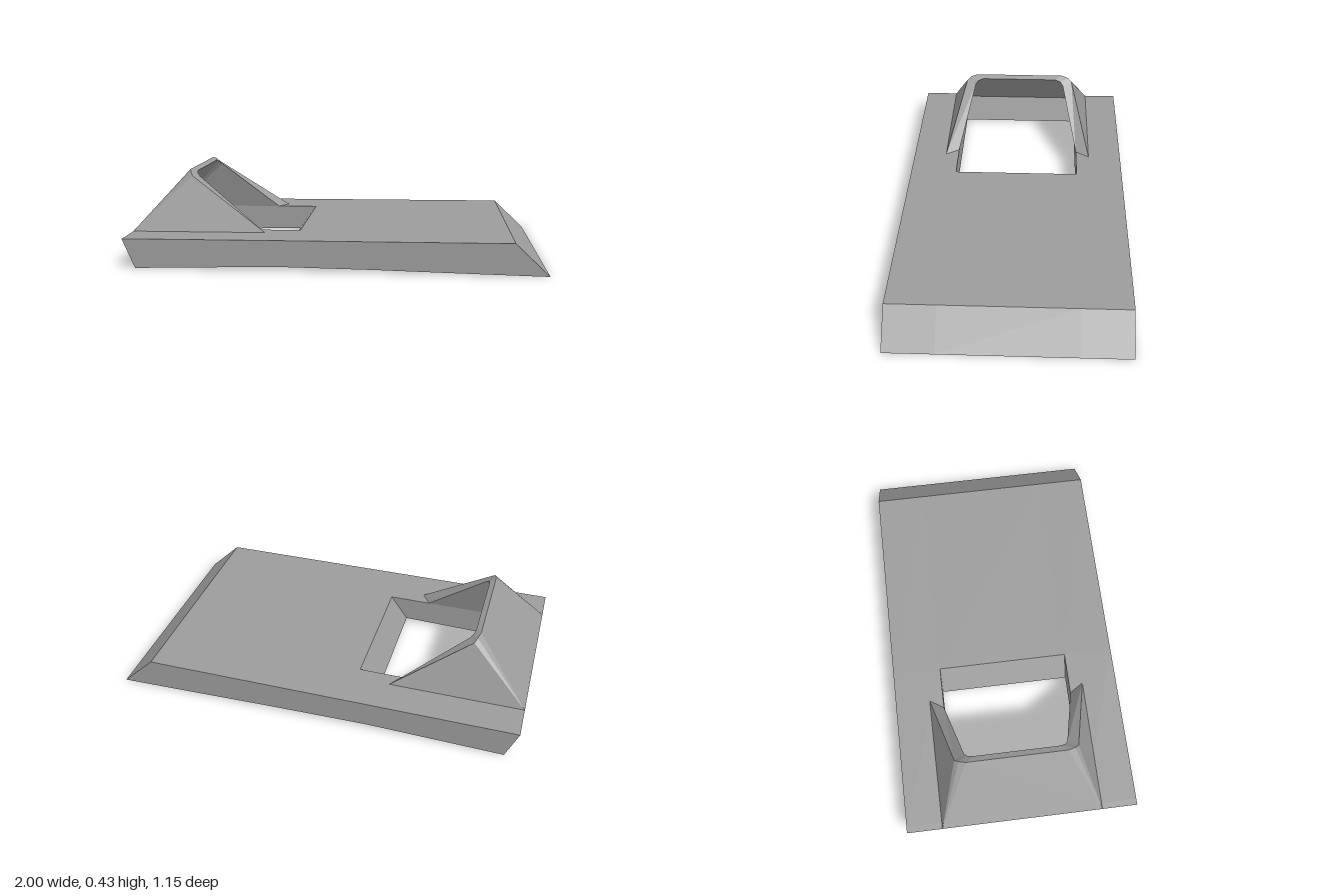
import * as THREE from 'three';

const stone = new THREE.MeshStandardMaterial({ color: 0x9c9c9c, flatShading: true });
stone.name = 'grey';

const HALF_WIDTH = 0.575, HALF_HOLE = 0.33;

// Collects faces and turns them into a faceted mesh
function faceBuilder() {
  const pos = [];
  const tri = (a, b, c) => pos.push(...a, ...b, ...c);
  const quad = (a, b, c, d) => { tri(a, b, c); tri(a, c, d); };
  const mesh = (name) => {
    const g = new THREE.BufferGeometry();
    g.setAttribute('position', new THREE.Float32BufferAttribute(pos, 3));
    g.computeVertexNormals();
    const m = new THREE.Mesh(g, stone);
    m.name = name;
    return m;
  };
  return { tri, quad, mesh };
}

// Wedge-ended slab with a rectangular opening through it
function createSlab() {
  const f = faceBuilder();
  const bottomBack = [[-0.94, 0], [-0.92, 0.001]];
  const bottomFront = [[-0.27, 0.02], [0.2, 0.015], [0.6, 0.007], [1, 0]];
  const topFront = [[0.84, 0.152], [-0.18, 0.146]];
  const topBack = [[-0.97, 0.141], [-1, 0.14]];
  const profile = [...bottomBack, ...bottomFront, ...topFront, ...topBack];
  const frontBlock = [...bottomFront, ...topFront];
  const backBar = [...bottomBack, ...topBack];
  const opening = [bottomBack[1], bottomFront[0], topFront[1], topBack[0]];

  // Walls running along z around a closed profile
  const sweep = (pts, z0, z1) => pts.forEach((a, i) => {
    const b = pts[(i + 1) % pts.length];
    f.quad([...a, z1], [...a, z0], [...b, z0], [...b, z1]);
  });
  // Flat cap facing +z or -z
  const cap = (pts, z, facing) => {
    const contour = pts.map((p) => new THREE.Vector2(...p));
    for (const [a, b, c] of THREE.ShapeUtils.triangulateShape(contour, [])) {
      const [p, q, r] = [a, b, c].map((i) => [...pts[i], z]);
      if (facing > 0) f.tri(p, q, r); else f.tri(p, r, q);
    }
  };

  sweep(profile, HALF_HOLE, HALF_WIDTH);
  sweep(profile, -HALF_WIDTH, -HALF_HOLE);
  sweep(frontBlock, -HALF_HOLE, HALF_HOLE);
  sweep(backBar, -HALF_HOLE, HALF_HOLE);
  for (const s of [1, -1]) {
    cap(profile, s * HALF_WIDTH, s);
    cap(opening, s * HALF_HOLE, -s);
  }
  return f.mesh('slab');
}

// Thin sloping hood over the back of the opening
function createHood() {
  const f = faceBuilder();
  const flip = ([x, y, z]) => [x, y, -z];
  const mirrored = (half) => [...half, ...half.map(flip).reverse()];
  const outer = mirrored([
    [-0.345, 0.145, 0.4], [-0.722, 0.405, 0.3], [-0.734, 0.422, 0.28], [-0.744, 0.431, 0.245],
  ]);
  const inner = mirrored([
    [-0.39, 0.144, HALF_HOLE], [-0.695, 0.395, 0.25], [-0.71, 0.41, 0.235], [-0.716, 0.419, 0.205],
  ]);
  const outerCorner = [-1, 0.14, 0.4];
  const innerCorner = [-0.97, 0.141, HALF_HOLE];

  // Each skin fans from its two base corners to the rim
  const skin = (rim, corner, face) => {
    const other = flip(corner);
    for (let i = 0; i < 3; i++) {
      face(corner, rim[i], rim[i + 1]);
      face(other, rim[i + 4], rim[i + 5]);
    }
    face(corner, rim[3], rim[4]);
    face(corner, rim[4], other);
  };
  skin(outer, outerCorner, f.tri);
  skin(inner, innerCorner, (a, b, c) => f.tri(a, c, b));

  // Rim joining the two skins
  for (let i = 0; i < outer.length - 1; i++) {
    f.quad(outer[i], inner[i], inner[i + 1], outer[i + 1]);
  }
  return f.mesh('hood');
}

export function createModel() {
  const model = new THREE.Group();
  model.name = 'hoodedSlab';
  model.add(createSlab(), createHood());
  return model;
}
